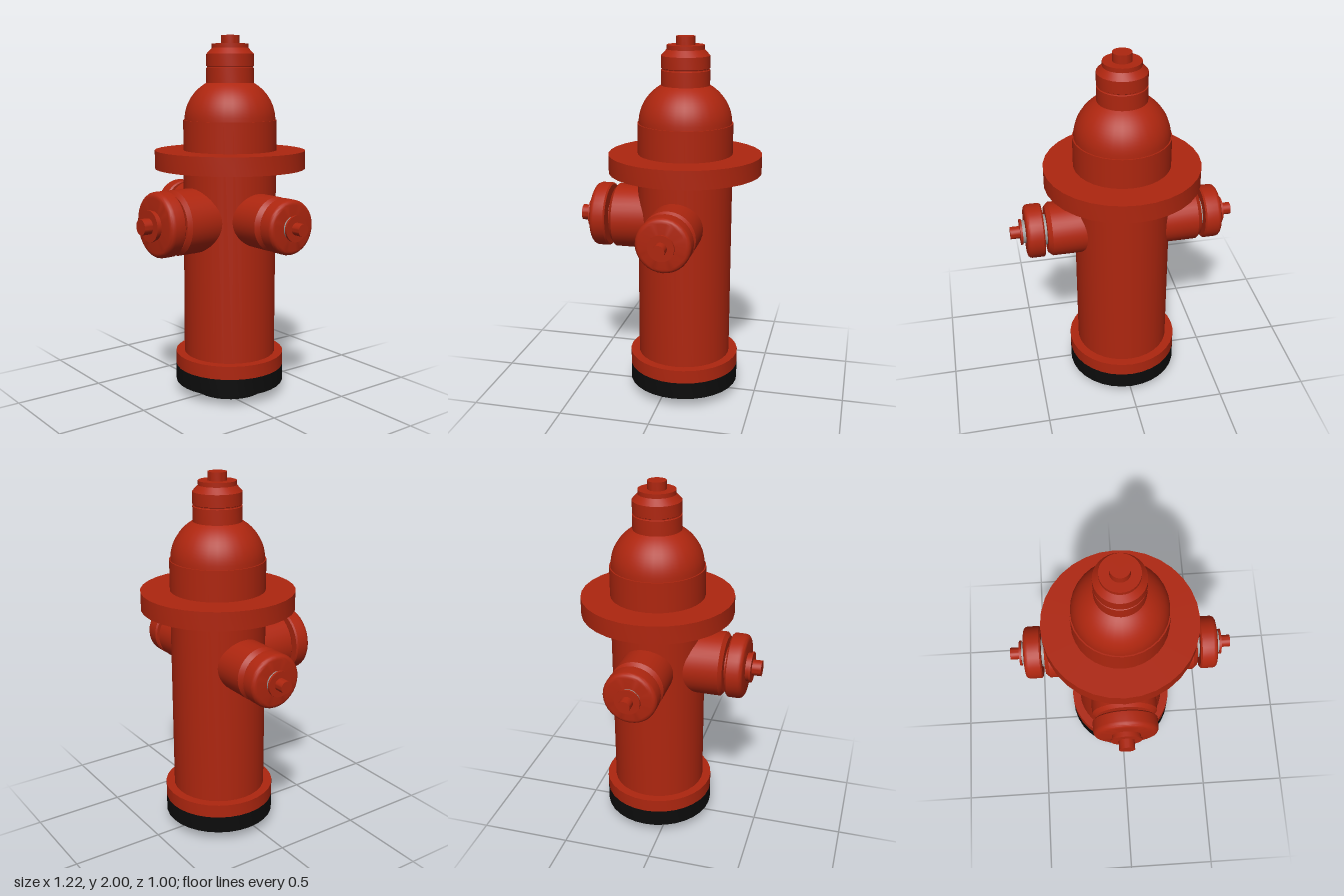
import * as THREE from 'three';
import { toCreasedNormals } from 'three/addons/utils/BufferGeometryUtils.js';

const material = (name, color) => new THREE.MeshStandardMaterial({ name, color });

// Turn a [radius, height] profile around y, keeping hard edges sharp
function turned(name, profile, mat, segments = 32) {
  const points = profile.map(([r, y]) => new THREE.Vector2(r, y));
  const geometry = toCreasedNormals(new THREE.LatheGeometry(points, segments), 0.5);
  const mesh = new THREE.Mesh(geometry, mat);
  mesh.name = name;
  return mesh;
}

// Solid disc profile between two heights
const disc = (r, y0, y1) => [[0, y0], [r, y0], [r, y1], [0, y1]];

// Disc whose outer rim is rounded
function roundedCap(r, y0, y1, bevel) {
  const profile = [[0, y0], [r - 0.008, y0], [r, y0 + 0.008]];
  for (let i = 0; i <= 5; i++) {
    const a = (i / 5) * Math.PI / 2;
    profile.push([r - bevel + bevel * Math.cos(a), y1 - bevel + bevel * Math.sin(a)]);
  }
  profile.push([0, y1]);
  return profile;
}

export function createModel() {
  const red = material('red paint', 0xae260f);
  const black = material('black base', 0x0c0c0c);
  const steel = material('bare steel', 0x9a9a9a);

  const hydrant = new THREE.Group();
  hydrant.name = 'hydrant';
  const axis = new THREE.Group();
  axis.name = 'barrelAssembly';
  axis.position.z = -0.085;
  hydrant.add(axis);

  // Base and barrel
  axis.add(
    turned('foot', disc(0.195, 0, 0.07), black),
    turned('basePlate', disc(0.305, 0.06, 0.155), black),
    turned('baseRing', disc(0.305, 0.155, 0.23), red),
    turned('barrel', disc(0.257, 0.22, 1.545), red),
    turned('flange', disc(0.415, 1.28, 1.38), red),
  );

  // Domed bonnet
  const dome = [];
  for (let i = 0; i <= 12; i++) {
    const a = (i / 12) * 1.03;
    dome.push([0.25 * Math.cos(a), 1.545 + 0.235 * Math.sin(a)]);
  }
  dome.push([0, dome[12][1]]);
  axis.add(turned('bonnet', dome, red));

  // Top cap with a fine groove and operating nut
  axis.add(
    turned('topCap', [
      [0, 1.73], [0.13, 1.73], [0.13, 1.825], [0.125, 1.828], [0.125, 1.833], [0.13, 1.836],
      [0.13, 1.9], [0.1, 1.932], [0, 1.932],
    ], red),
    turned('topWasher', disc(0.1, 1.93, 1.955), red),
    turned('topNut', disc(0.05, 1.95, 2), red),
  );

  // Side outlets, mirrored left and right
  for (const [name, side] of [['leftOutlet', 1], ['rightOutlet', -1]]) {
    const outlet = new THREE.Group();
    outlet.name = name;
    outlet.position.y = 1.018;
    outlet.rotation.z = -side * Math.PI / 2;
    outlet.add(
      turned('outletPipe', [[0, 0.15], [0.145, 0.15], [0.145, 0.395], [0.125, 0.418], [0, 0.418]], red),
      turned('outletCollar', disc(0.082, 0.41, 0.44), steel),
      turned('outletCap', roundedCap(0.145, 0.435, 0.53, 0.025), red),
      turned('outletSpacer', disc(0.062, 0.525, 0.548), steel),
      turned('outletWasher', disc(0.069, 0.546, 0.558), red),
      turned('outletNut', disc(0.033, 0.55, 0.61), red),
    );
    axis.add(outlet);
  }

  // Larger front outlet
  const front = new THREE.Group();
  front.name = 'frontOutlet';
  front.position.y = 1.008;
  front.rotation.x = Math.PI / 2;
  front.add(
    turned('frontPipe', [[0, 0.15], [0.177, 0.15], [0.177, 0.375], [0.155, 0.394], [0, 0.394]], red),
    turned('frontCollar', disc(0.1, 0.39, 0.42), red),
    turned('frontCap', roundedCap(0.177, 0.413, 0.505, 0.03), red),
    turned('frontSpacer', disc(0.078, 0.5, 0.528), red),
    turned('frontWasher', disc(0.085, 0.525, 0.535), red),
    turned('frontNut', disc(0.043, 0.53, 0.585), red),
  );
  axis.add(front);

  return hydrant;
}
